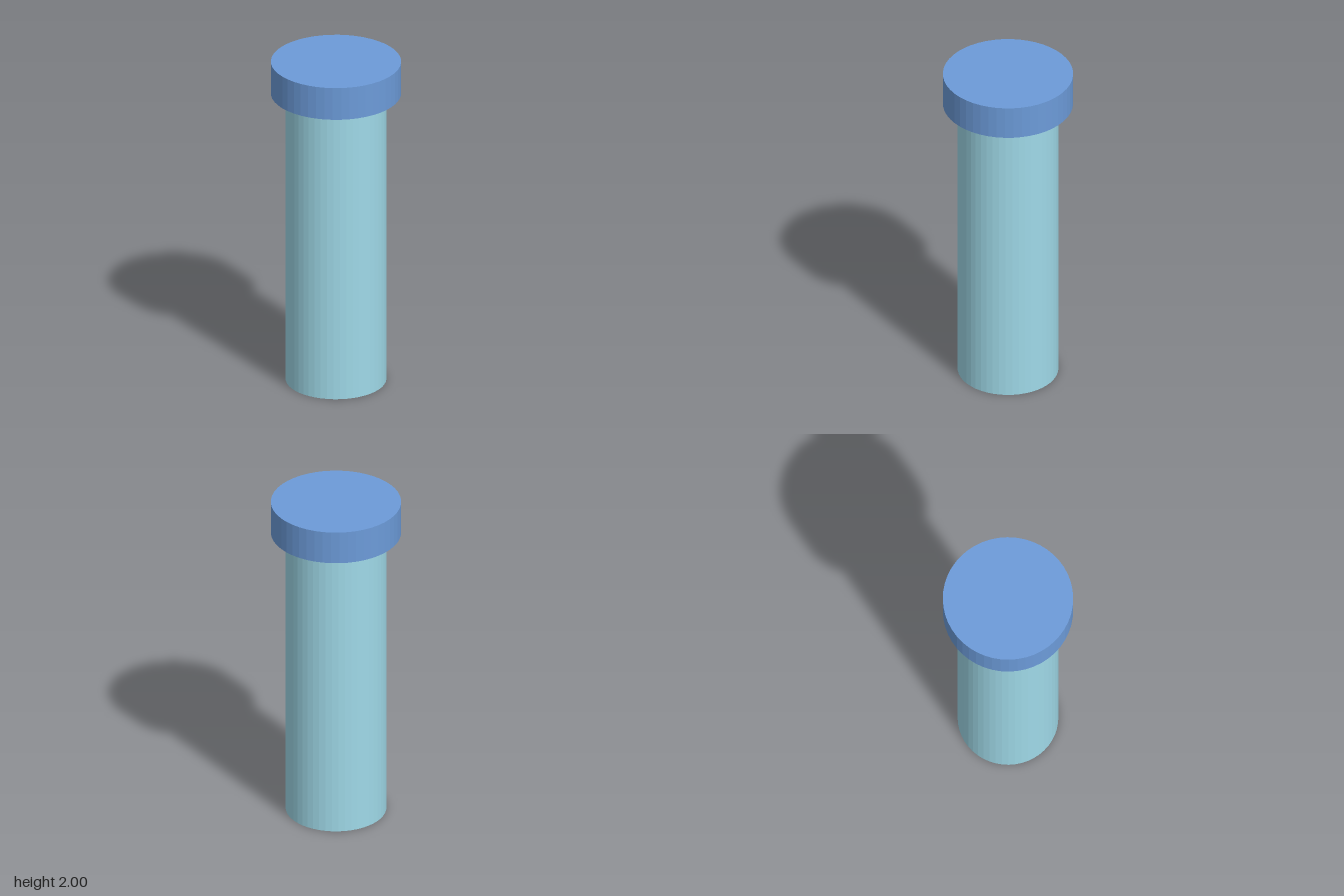
import * as THREE from 'three';

const SIDES = 48;

// Upright faceted cylinder spanning y0..y1
function disc(name, radius, y0, y1, color) {
  const geometry = new THREE.CylinderGeometry(radius, radius, y1 - y0, SIDES);
  const material = new THREE.MeshStandardMaterial({ color, flatShading: true });
  const mesh = new THREE.Mesh(geometry, material);
  mesh.name = name;
  mesh.position.y = (y0 + y1) / 2;
  return mesh;
}

export function createModel() {
  const pin = new THREE.Group();
  pin.name = 'headedPin';
  pin.add(
    disc('shaft', 0.29, 0, 1.8, 0x9fd9e8), // long plain shank
    disc('head', 0.375, 1.8, 2, 0x6c9bd9) // wider flat cap
  );
  return pin;
}
